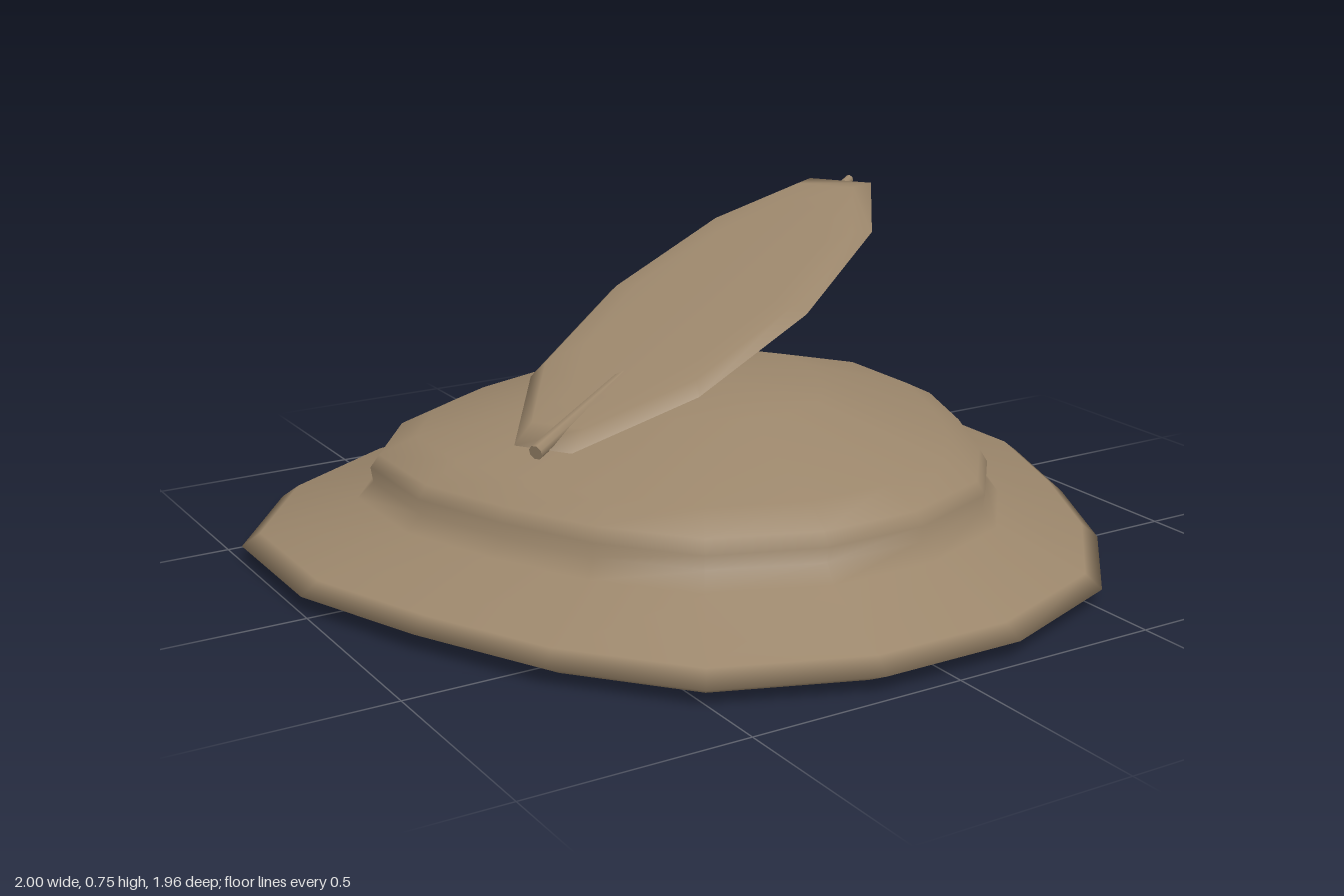
import * as THREE from 'three';
import { mergeVertices } from 'three/addons/utils/BufferGeometryUtils.js';

// Smooth closed skin through equal-length rings (clockwise from above, bottom to top)
function loft(rings) {
  const n = rings[0].length, index = [];
  for (let r = 0; r < rings.length - 1; r++) {
    for (let i = 0; i < n; i++) {
      const a = r * n + i, b = r * n + (i + 1) % n;
      index.push(a, a + n, b, b, a + n, b + n);
    }
  }
  const g = new THREE.BufferGeometry();
  g.setAttribute('position', new THREE.Float32BufferAttribute(rings.flat(2), 3));
  g.setIndex(index);
  const merged = mergeVertices(g, 1e-4);
  merged.computeVertexNormals();
  return merged;
}

export function createModel() {
  const group = new THREE.Group();
  const tan = new THREE.MeshStandardMaterial({ color: 0x9b866b });
  tan.name = 'tan';
  const add = (name, geometry) => {
    const mesh = new THREE.Mesh(geometry, tan);
    mesh.name = name;
    group.add(mesh);
    return mesh;
  };

  // Rounded-triangle outline, mirrored across x
  const half = [[0.17, -0.98], [0.49, -0.87], [0.79, -0.69], [1, -0.4], [1, -0.03],
    [0.88, 0.29], [0.73, 0.59], [0.51, 0.85], [0.17, 0.98]];
  const outline = [...half, ...half.slice().reverse().map(([x, z]) => [-x, z])];

  // Domed base with a wide brim: [scale, height]
  const profile = [[0, 0], [0.92, 0], [1, 0.04], [0.96, 0.07], [0.75, 0.142], [0.715, 0.18],
    [0.72, 0.215], [0.7, 0.245], [0.62, 0.285], [0.31, 0.38], [0, 0.415]];
  add('domedBase', loft(profile.map(([s, y]) => outline.map(([x, z]) => [x * s, y, z * s]))));

  // Thin tilted leaf: [scale, offset from its plane, sideways shift]
  const leaf = [[-0.58, 0.18], [-0.41, -0.07], [-0.07, -0.3], [0.33, -0.44], [0.61, -0.44],
    [0.69, -0.28], [0.52, -0.04], [0.17, 0.19], [-0.2, 0.32], [-0.51, 0.31]];
  const cx = 0.055, cz = -0.06;
  const layers = [[0, -0.02, 0], [0.7, -0.018, 0], [0.93, -0.01, 0], [1, 0, 0],
    [0.9, 0.012, -0.015], [0.7, 0.018, -0.01], [0, 0.022, 0]];
  add('leaf', loft(layers.map(([s, h, dz]) => leaf.map(([px, pz]) => {
    const x = cx + (px - cx) * s, z = cz + (pz - cz) * s + dz;
    return [x, 0.54 + 0.26 * x - 0.1 * z + h, z];
  }))));

  // Slim rod running through the leaf and poking out of both ends
  const start = new THREE.Vector3(-0.57, 0.375, 0.26), end = new THREE.Vector3(0.69, 0.743, -0.375);
  const dir = end.clone().sub(start);
  const rod = add('rod', new THREE.CylinderGeometry(0.011, 0.017, dir.length(), 8));
  rod.position.copy(start).add(end).multiplyScalar(0.5);
  rod.quaternion.setFromUnitVectors(new THREE.Vector3(0, 1, 0), dir.normalize());

  return group;
}
